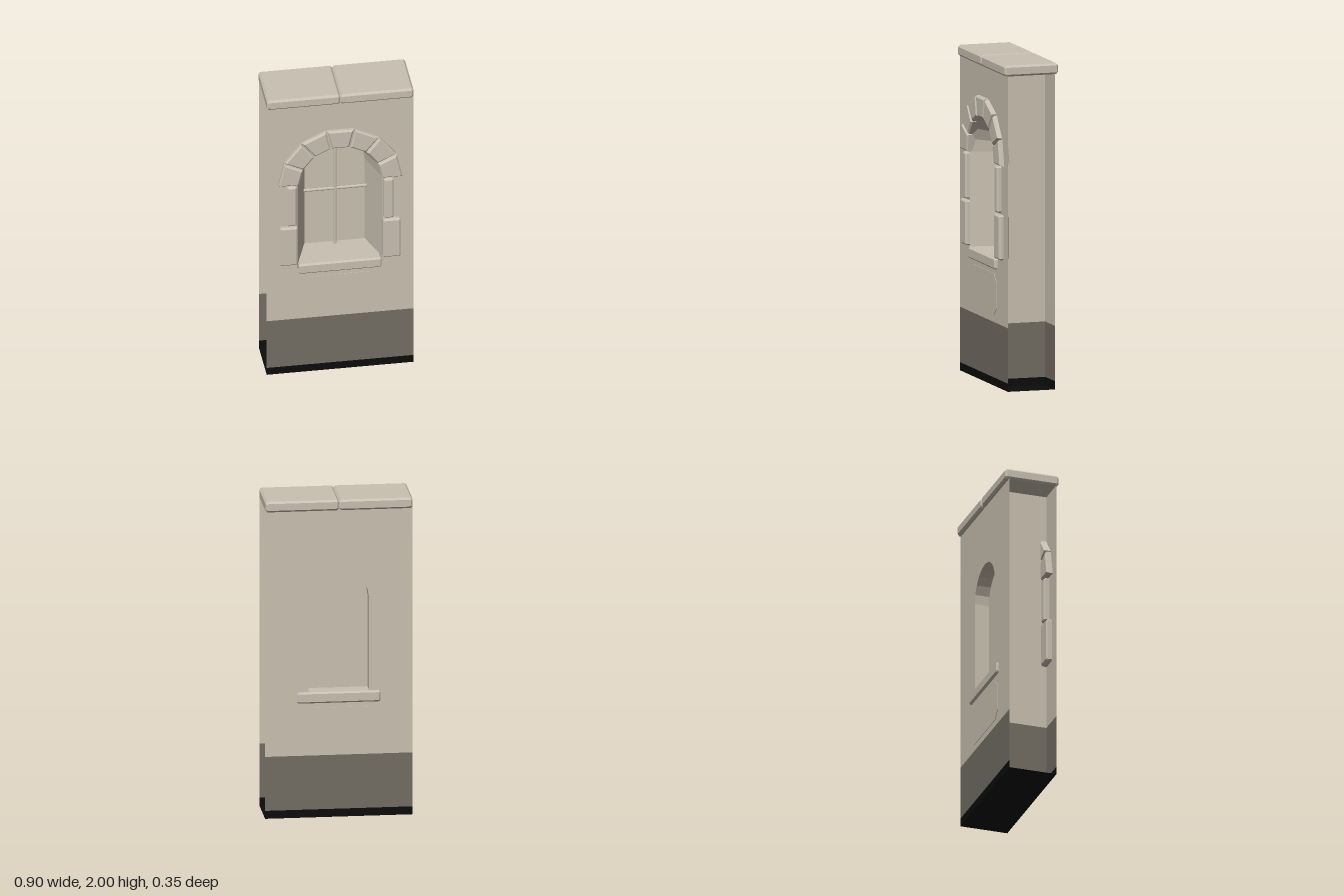
import * as THREE from 'three';

const mat = (name, color) => {
  const m = new THREE.MeshStandardMaterial({ color, side: THREE.DoubleSide });
  m.name = name;
  return m;
};

export function createModel() {
  const root = new THREE.Group();
  root.name = 'windowWall';
  const plaster = mat('plaster', 0xcac1b1);
  const stone = mat('stone', 0xc9c0b2);
  const plinth = mat('plinth grey', 0x736e64);
  const black = mat('base black', 0x0c0c0c);

  const FRONT = 0.147, BACK = -0.155, PANE = -0.065, ARCH_Y = 1.37, SILL = 0.785;
  const add = (name, geo, m, parent = root) => {
    const mesh = new THREE.Mesh(geo, m);
    mesh.name = name;
    parent.add(mesh);
    return mesh;
  };
  const toShape = pts => new THREE.Shape(pts.map(p => new THREE.Vector2(p[0], p[1])));

  // Round-headed outline, from the right foot over the arch to the left foot
  const arch = (r, n = 10) => {
    const pts = [[r, SILL - 0.03]];
    for (let i = 0; i <= n; i++) {
      const a = Math.PI * i / n;
      pts.push([r * Math.cos(a), ARCH_Y + r * Math.sin(a)]);
    }
    pts.push([-r, SILL - 0.03]);
    return pts;
  };

  // Chamfered stone: outline in x/y, from z0 to z1
  const block = (pts, z0, z1, b = 0.01) => {
    const g = new THREE.ExtrudeGeometry(toShape(pts), {
      depth: z1 - z0 - 2 * b, bevelEnabled: true, bevelThickness: b,
      bevelSize: b, bevelOffset: -b, bevelSegments: 1,
    });
    return g.translate(0, 0, z0 + b);
  };
  // Rectangle with cut corners
  const cutRect = (x0, y0, x1, y1, c) => [
    [x0 + c, y0], [x1 - c, y0], [x1, y0 + c], [x1, y1 - c],
    [x1 - c, y1], [x0 + c, y1], [x0, y1 - c], [x0, y0 + c],
  ];

  // Wall faces in three bands, open at both ends
  const bands = [['base', 0, 0.05, black], ['plinth', 0.05, 0.39, plinth], ['wall', 0.39, 1.94, plaster]];
  for (const [name, y0, y1, m] of bands) {
    for (const [side, z, r] of [['Front', FRONT, 0.26], ['Back', BACK, 0.185]]) {
      const s = toShape([[-0.45, y0], [0.45, y0], [0.45, y1], [-0.45, y1]]);
      if (name === 'wall') s.holes.push(new THREE.Path(arch(r).map(p => new THREE.Vector2(...p))));
      const g = new THREE.ShapeGeometry(s);
      if (side === 'Back') g.rotateY(Math.PI);
      add(name + side, g.translate(0, 0, z), m);
    }
    // inner partitions beside the window
    for (const sx of [-1, 1]) {
      const g = new THREE.PlaneGeometry(FRONT - BACK, y1 - y0);
      g.rotateY(sx * Math.PI / 2).translate(sx * 0.265, (y0 + y1) / 2, (FRONT + BACK) / 2);
      add(name + 'Partition', g, m);
    }
  }
  add('underside', new THREE.PlaneGeometry(0.9, FRONT - BACK).rotateX(Math.PI / 2)
    .translate(0, 0, (FRONT + BACK) / 2), black);

  // Window reveal: lofted strip through three arch outlines
  const reveal = (name, rA, zA, rB, zB) => {
    const a = arch(rA), b = arch(rB), pos = [];
    for (let i = 0; i < a.length - 1; i++) {
      const A = [...a[i], zA], B = [...a[i + 1], zA], C = [...b[i + 1], zB], D = [...b[i], zB];
      pos.push(...A, ...C, ...B, ...A, ...D, ...C);
    }
    const g = new THREE.BufferGeometry();
    g.setAttribute('position', new THREE.Float32BufferAttribute(pos, 3));
    g.computeVertexNormals();
    add(name, g, plaster);
  };
  reveal('frontReveal', 0.26, FRONT, 0.185, PANE);
  reveal('backReveal', 0.185, PANE, 0.185, BACK);

  // Blind pane and glazing bars
  add('pane', new THREE.ShapeGeometry(toShape(arch(0.185))).translate(0, 0, PANE), plaster);
  add('verticalBar', new THREE.CylinderGeometry(0.01, 0.01, 0.78, 8).translate(0, 1.17, -0.045), stone);
  add('horizontalBar', new THREE.CylinderGeometry(0.01, 0.01, 0.385, 8)
    .rotateZ(Math.PI / 2).translate(0, 1.19, -0.045), stone);

  // Sill passing through the wall
  add('sill', block(cutRect(-0.255, 0.72, 0.255, 0.79, 0.01), -0.17, 0.165), stone);

  // Seven arch stones
  const arches = new THREE.Group();
  arches.name = 'archStones';
  root.add(arches);
  const step = Math.PI / 7, gap = 0.004;
  for (let i = 0; i < 7; i++) {
    const mid = step * (i + 0.5);
    const pts = [[0.255, -1], [0.382, -1], [0.382, 1], [0.255, 1]].map(([r, s]) => {
      const a = mid + s * (step / 2 - gap / r);
      return [r * Math.cos(a), ARCH_Y + r * Math.sin(a)];
    });
    add('archStone', block(pts, 0.11, 0.175), stone, arches);
  }

  // Jamb stones on both sides
  for (const s of [-1, 1]) {
    for (const [name, x0, y0, x1, y1] of [
      ['upperJambStone', 0.267, 1.08, 0.327, 1.365],
      ['lowerJambStone', 0.262, 0.795, 0.37, 1.07],
    ]) {
      const [a, b] = s > 0 ? [x0, x1] : [-x1, -x0];
      add(name, block(cutRect(a, y0, b, y1, 0.008), 0.11, 0.175), stone);
    }
  }

  // Two coping stones with a groove between
  for (const [a, b] of [[-0.45, 0], [0, 0.45]]) {
    add('copingStone', block(cutRect(a, 1.933, b, 2, 0.012), -0.178, 0.165, 0.012), stone);
  }

  // Faint plaster patches under the sill
  for (const z of [FRONT, BACK - 0.003]) {
    const g = new THREE.ExtrudeGeometry(toShape(cutRect(-0.24, 0.43, 0.24, 0.69, 0.05)),
      { depth: 0.003, bevelEnabled: false });
    add('plasterPatch', g.translate(0, 0, z), plaster);
  }
  return root;
}
